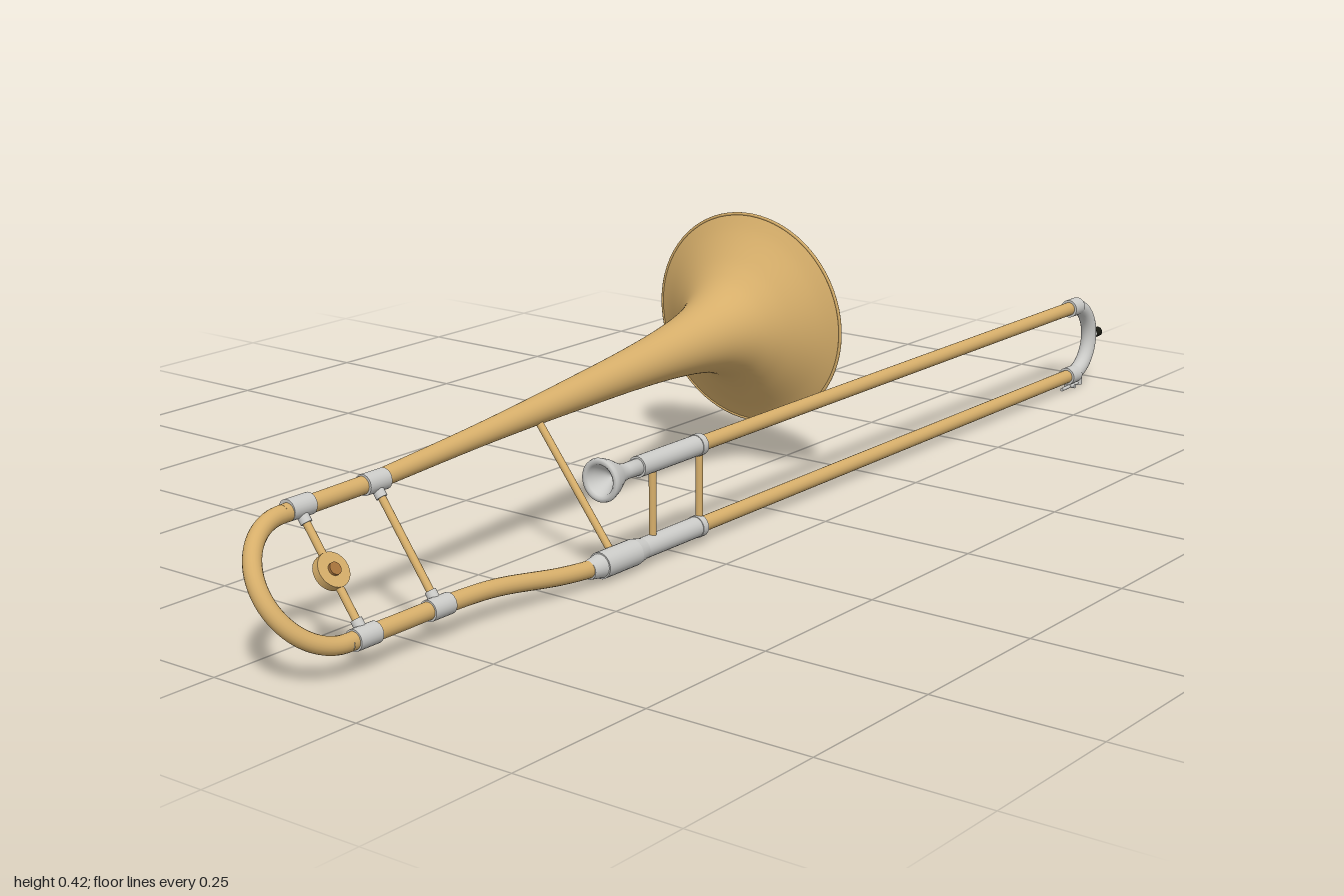
import * as THREE from 'three';

const mat = (name, color, side = THREE.FrontSide) => {
  const m = new THREE.MeshStandardMaterial({ color, side });
  m.name = name;
  return m;
};
const V = (x, y, z) => new THREE.Vector3(x, y, z);
const UP = V(0, 1, 0);

export function createModel() {
  const brass = mat('brass', 0xd6ae6a);
  const silver = mat('silver', 0xcbcbc8);
  const copper = mat('dark brass', 0xa8743c);
  const black = mat('black', 0x1a1a12);
  const model = new THREE.Group();
  model.name = 'trombone';

  const add = (name, geometry, material, parent = model) => {
    const mesh = new THREE.Mesh(geometry, material);
    mesh.name = name;
    parent.add(mesh);
    return mesh;
  };
  // Straight rod between two points
  const rod = (name, a, b, r, material, r2 = r) => {
    const d = b.clone().sub(a);
    const mesh = add(name, new THREE.CylinderGeometry(r2, r, d.length(), 24), material);
    mesh.position.copy(a).add(b).multiplyScalar(0.5);
    mesh.quaternion.setFromUnitVectors(UP, d.normalize());
    return mesh;
  };
  // Half-circle bow: from end a to end b, bulging along x by sign
  const bow = (name, a, b, sign, r, material) => {
    const c = a.clone().add(b).multiplyScalar(0.5);
    const u = a.clone().sub(c);
    const R = u.length();
    const pts = [];
    for (let i = 0; i <= 24; i++) {
      const t = (i / 24) * Math.PI;
      pts.push(c.clone().addScaledVector(u, Math.cos(t)).add(V(sign * R * Math.sin(t), 0, 0)));
    }
    return add(name, new THREE.TubeGeometry(new THREE.CatmullRomCurve3(pts), 48, r, 20), material);
  };
  // Surface of revolution from [radius, height] pairs
  const lathe = (pts) => new THREE.LatheGeometry(pts.map(([r, y]) => new THREE.Vector2(r, y)), 64);

  // Bell: flared along an axis leaning up and back
  const bellTail = V(-0.727, 0.198, 0.022);
  const bellMouth = V(0.168, 0.245, -0.016);
  const axis = bellMouth.clone().sub(bellTail);
  const len = axis.length();
  axis.normalize();
  const bell = new THREE.Group();
  bell.name = 'bell';
  bell.position.copy(bellMouth);
  bell.quaternion.setFromUnitVectors(UP, axis);
  model.add(bell);
  const flare = [[0.0125, -len], [0.0155, -0.7], [0.02, -0.56], [0.0245, -0.46], [0.03, -0.35],
    [0.0365, -0.26], [0.043, -0.2], [0.05, -0.155], [0.06, -0.115], [0.075, -0.082],
    [0.095, -0.057], [0.118, -0.036], [0.145, -0.015], [0.17, 0]];
  const profile = new THREE.SplineCurve(flare.map((p) => new THREE.Vector2(...p)))
    .getPoints(78).map((p) => [p.x, p.y]);
  add('bellOutside', lathe(profile), brass, bell);
  const inside = profile.map(([r, y]) => [r - 0.002, y + 0.001]).reverse();
  const cut = (r) => inside.findIndex((p) => p[0] < r);
  const i1 = cut(0.075), i2 = cut(0.054), i3 = cut(0.03);
  add('bellInside', lathe([[0.17, 0], ...inside.slice(0, i1 + 1)]), brass, bell);
  add('bellThroat', lathe(inside.slice(i1, i2 + 1)), copper, bell);
  add('bellBore', lathe([...inside.slice(i2, i3 + 1), [0, inside[i3][1]]]), black, bell);
  const rim = add('bellRim', new THREE.TorusGeometry(0.169, 0.0025, 10, 72), brass, bell);
  rim.rotation.x = Math.PI / 2;

  // Tuning bow and the straight tubes that leave it
  const bowTop = V(-0.895, 0.196, 0.025);
  const bowLow = V(-0.895, 0.047, 0.135);
  bow('tuningBow', bowTop, bowLow, -1, 0.0125, brass);
  rod('bellTube', bowTop, bellTail, 0.0125, brass);

  // Neck pipe bending down to the slide
  const zS = 0.156, yLow = 0.025, yTop = 0.149;
  const neck = new THREE.CatmullRomCurve3([bowLow, V(-0.8, 0.047, 0.135), V(-0.72, 0.047, 0.135),
    V(-0.62, 0.044, 0.138), V(-0.5, 0.03, 0.151), V(-0.44, 0.026, zS), V(-0.38, yLow, zS)]);
  add('neckPipe', new THREE.TubeGeometry(neck, 60, 0.0125, 20), brass);

  // Ferrules and cross braces between bell tube and neck pipe
  for (const x of [-0.865, -0.727]) {
    const top = V(x, 0.198, 0.0235), low = V(x, 0.047, 0.135);
    for (const p of [top, low]) {
      rod('ferrule', p.clone().add(V(-0.02, 0, 0)), p.clone().add(V(0.02, 0, 0)), 0.015, silver);
    }
    rod('bellBrace', top, low, 0.0055, brass);
    const d = low.clone().sub(top).normalize();
    rod('braceFoot', top, top.clone().addScaledVector(d, 0.024), 0.008, silver);
    rod('braceFoot', low, low.clone().addScaledVector(d, -0.024), 0.008, silver);
  }
  // Round weight on the rear brace, lying in the plane of the bow
  const disc = V(-0.865, 0.1225, 0.0793);
  const normal = V(0, 0.1115, 0.151).normalize();
  const slab = (name, half, r, m) => rod(name, disc.clone().addScaledVector(normal, -half),
    disc.clone().addScaledVector(normal, half), r, m);
  slab('weight', 0.006, 0.025, brass);
  slab('weightHub', 0.01, 0.009, copper);
  // Long brace from bell to slide
  rod('longBrace', V(-0.385, 0.216, 0.007), V(-0.385, yLow, zS), 0.0055, brass);

  // Slide: two long tubes, grips and connecting braces
  for (const y of [yTop, yLow]) {
    rod('slideTube', V(-0.2, y, zS), V(0.905, y, zS), 0.0115, brass);
    rod('slideGrip', V(-0.335, y, zS), V(-0.19, y, zS), 0.0155, silver);
    rod('gripCollar', V(-0.2, y, zS), V(-0.188, y, zS), 0.0165, silver);
    rod('bowFerrule', V(0.89, y, zS), V(0.92, y, zS), 0.0155, silver);
  }
  rod('slideJoint', V(-0.42, yLow, zS), V(-0.345, yLow, zS), 0.0195, silver);
  rod('slideJointTaper', V(-0.345, yLow, zS), V(-0.325, yLow, zS), 0.0195, silver, 0.0155);
  rod('slideJointTail', V(-0.445, yLow, zS), V(-0.42, yLow, zS), 0.0135, silver, 0.0175);
  for (const x of [-0.3, -0.19]) {
    rod('slideBrace', V(x, yLow, zS), V(x, yTop, zS), 0.0055, brass);
  }

  // Slide bow with bumper and water key
  bow('slideBow', V(0.904, yTop, zS), V(0.904, yLow, zS), 1, 0.0135, silver);
  rod('bumperSeat', V(0.97, 0.087, zS), V(0.986, 0.087, zS), 0.008, silver);
  rod('bumper', V(0.982, 0.087, zS), V(1.0, 0.087, zS), 0.0085, black);
  rod('waterKeyLever', V(0.875, 0.004, zS), V(0.94, 0.006, zS), 0.003, silver);
  rod('waterKeyPad', V(0.935, 0.002, zS), V(0.935, 0.02, zS), 0.006, silver);
  rod('waterKeyPivot', V(0.905, 0.006, zS - 0.01), V(0.905, 0.006, zS + 0.01), 0.004, silver);

  // Mouthpiece with a hollow cup opening towards -x
  const cup = add('mouthpiece', lathe([[0.001, 0.032], [0.01, 0.024], [0.019, 0.012], [0.0225, 0.003],
    [0.026, 0], [0.031, 0.001], [0.032, 0.005], [0.0305, 0.01], [0.027, 0.02], [0.02, 0.033],
    [0.014, 0.045], [0.0115, 0.058], [0.0125, 0.09], [0, 0.09]]), silver);
  cup.rotation.z = -Math.PI / 2;
  cup.position.set(-0.42, yTop, zS);

  return model;
}
